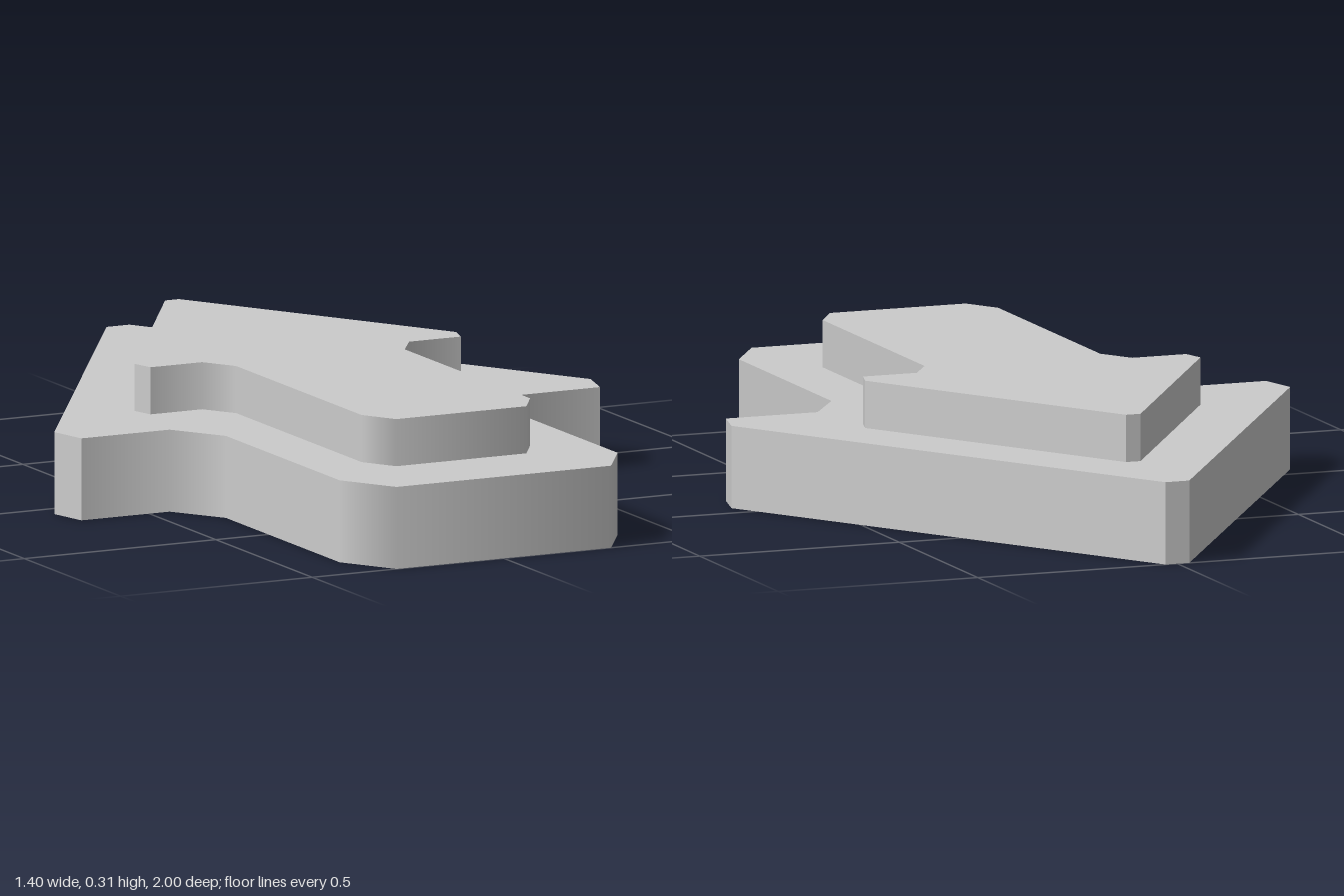
import * as THREE from 'three';
import { mergeGeometries } from 'three/addons/utils/BufferGeometryUtils.js';

// Upright wall through a run of [x, z] points; corners inside the run shade smoothly
function wall(run, y0, y1) {
  const position = [], normal = [], index = [];
  run.forEach(([x, z], i) => {
    const a = run[Math.max(i - 1, 0)], b = run[Math.min(i + 1, run.length - 1)];
    const n = new THREE.Vector3(b[1] - a[1], 0, a[0] - b[0]).normalize();
    position.push(x, y0, z, x, y1, z);
    normal.push(...n, ...n);
    if (i > 0) {
      const k = 2 * i;
      index.push(k - 2, k - 1, k, k, k - 1, k + 1);
    }
  });
  const g = new THREE.BufferGeometry();
  g.setAttribute('position', new THREE.Float32BufferAttribute(position, 3));
  g.setAttribute('normal', new THREE.Float32BufferAttribute(normal, 3));
  g.setIndex(index);
  return g;
}

// Flat arrow face, dir = 1 looks up and -1 looks down
function cap(points, y, dir) {
  const shape = new THREE.Shape(points.map(([x, z]) => new THREE.Vector2(x, -dir * z)));
  const g = new THREE.ShapeGeometry(shape);
  g.rotateX(-dir * Math.PI / 2);
  g.translate(0, y, 0);
  g.deleteAttribute('uv');
  return g;
}

// Arrow slab from its right half outline: tip, barb, barb end, notch, shaft, tail
function arrowSlab(half, y0, y1) {
  const mirrored = half.map(([x, z]) => [-x, z]).reverse();
  const points = [...half, ...mirrored];
  const last = points.length - 1;
  return mergeGeometries([
    cap(points, y1, 1),
    cap(points, y0, -1),
    // crisp arrowhead sides
    wall([points[0], points[1]], y0, y1),
    wall([points[1], points[2]], y0, y1),
    wall([points[last - 2], points[last - 1]], y0, y1),
    wall([points[last - 1], points[last]], y0, y1),
    wall([points[last], points[0]], y0, y1),
    // softly shaded shaft and tail
    wall(points.slice(2, last - 1), y0, y1),
  ]);
}

export function createModel() {
  const group = new THREE.Group();
  group.name = 'arrow';
  const material = new THREE.MeshStandardMaterial({ color: 0xcccccc });

  const add = (name, half, y0, y1) => {
    const mesh = new THREE.Mesh(arrowSlab(half, y0, y1), material);
    mesh.name = name;
    group.add(mesh);
  };

  // Wide lower arrow
  add('arrowBase', [
    [0.03, -1], [0.7, 0.06], [0.677, 0.155], [0.447, 0.155],
    [0.363, 0.28], [0.363, 0.87], [0.28, 1],
  ], 0, 0.195);

  // Smaller raised arrow on top
  add('arrowTop', [
    [0.018, -0.72], [0.42, -0.08], [0.405, -0.027], [0.27, -0.027],
    [0.22, 0.05], [0.22, 0.7], [0.17, 0.78],
  ], 0.195, 0.307);

  return group;
}
